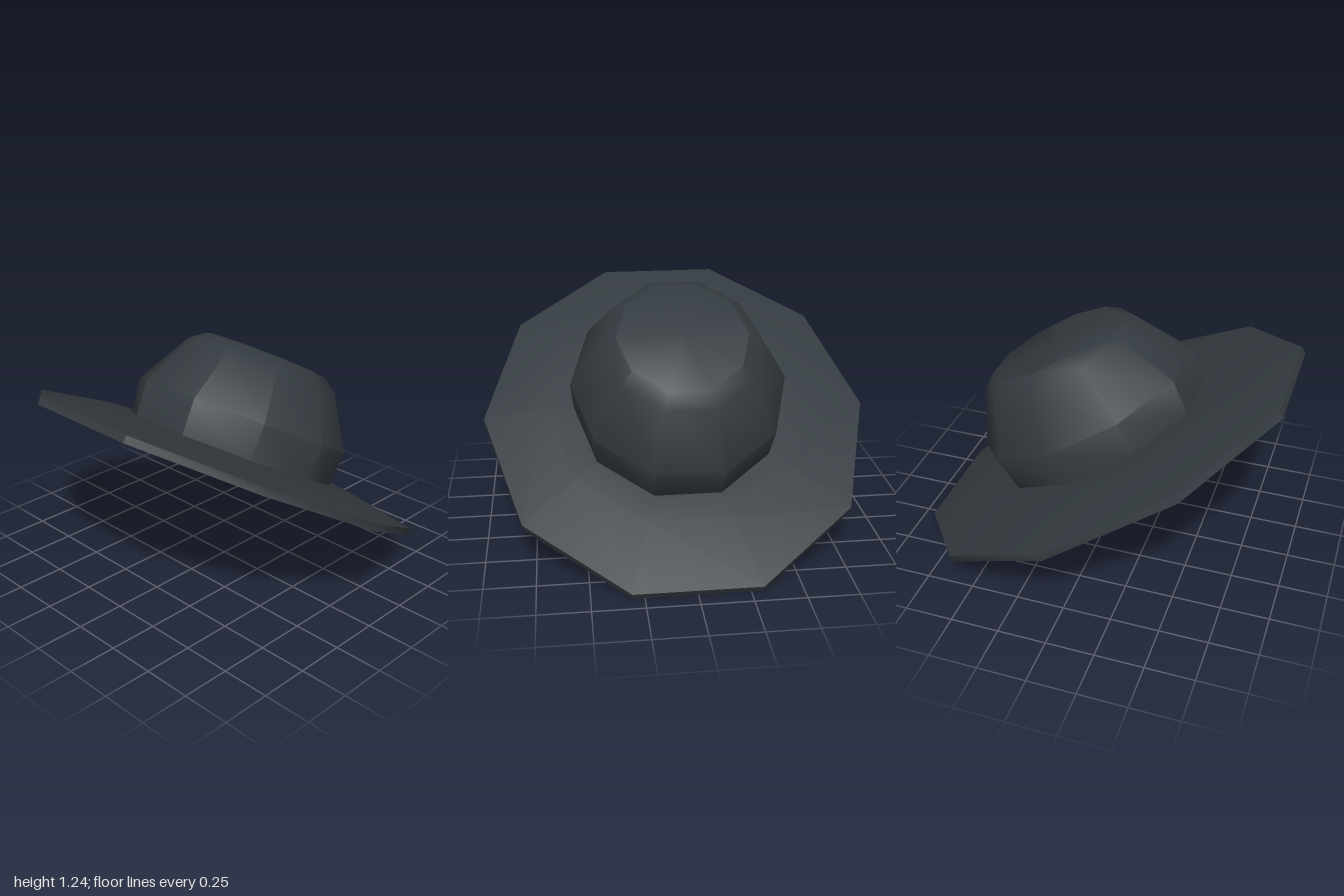
import * as THREE from 'three';
import { toCreasedNormals } from 'three/addons/utils/BufferGeometryUtils.js';

const SIDES = 10;
const STRETCH = 1.12; // the hat is slightly longer front to back
const TILT = Math.PI / 6;
const CREASE = 0.663; // only edges sharper than this stay hard

const felt = new THREE.MeshStandardMaterial({ color: 0x333a3f });

// Ten-sided lathe of [radius, height] points, with a corner on the x axis
function turned(name, profile) {
  const points = profile.map(([r, y]) => new THREE.Vector2(r, y));
  const geometry = new THREE.LatheGeometry(points, SIDES, Math.PI / SIDES);
  geometry.scale(1, 1, STRETCH);
  const mesh = new THREE.Mesh(toCreasedNormals(geometry, CREASE), felt);
  mesh.name = name;
  return mesh;
}

export function createModel() {
  const hat = new THREE.Group();
  hat.name = 'hat';

  // Underside, thin rim, sloping top and the flat seat of the crown
  hat.add(turned('brim', [[0.396, 0.012], [1, 0], [1, 0.037], [0.672, 0.1], [0.535, 0.1]]));

  // Bulging wall, bevelled shoulder and flat top
  hat.add(turned('crown', [[0.535, 0.1], [0.551, 0.284], [0.395, 0.568], [0.326, 0.621], [0, 0.621]]));

  // Hollow for the head, facing inward
  hat.add(turned('innerHollow', [[0, 0.39], [0.324, 0.39], [0.396, 0.012]]));

  // Tip the hat back so the front of the brim is raised
  hat.rotation.x = -TILT;
  hat.position.set(0, Math.sin(0.4 * Math.PI) * STRETCH * Math.sin(TILT), 0.008);

  const model = new THREE.Group();
  model.name = 'tiltedHat';
  model.add(hat);
  return model;
}
